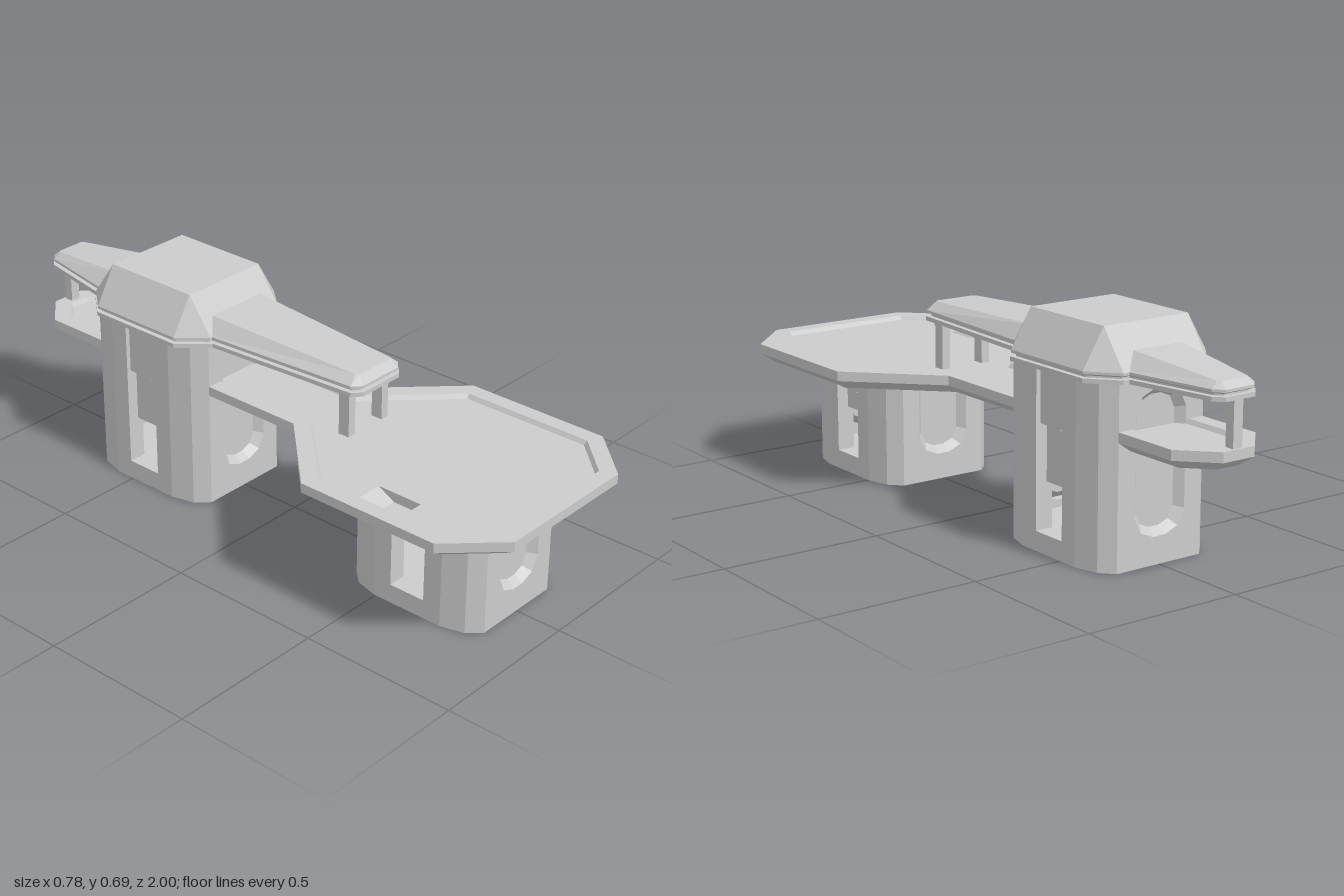
import * as THREE from 'three';

const material = new THREE.MeshStandardMaterial({ color: 0xcccccc, flatShading: true, side: THREE.DoubleSide });

function add(parent, name, geometry, x = 0, y = 0, z = 0) {
  const mesh = new THREE.Mesh(geometry, material);
  mesh.name = name;
  mesh.position.set(x, y, z);
  parent.add(mesh);
}
const box = (parent, name, w, h, d, x, y, z) => add(parent, name, new THREE.BoxGeometry(w, h, d), x, y, z);

// Right half of a symmetric plan, given as [x, z] from front to back, to a counter-clockwise loop
function plan(half) {
  const right = half.map(([x, z]) => new THREE.Vector2(x, -z));
  return [...right, ...right.map((p) => new THREE.Vector2(-p.x, p.y)).reverse()];
}

// Move every edge of a counter-clockwise loop inwards by d
function inset(loop, d) {
  const n = loop.length;
  return loop.map((p, i) => {
    const a = p.clone().sub(loop[(i + n - 1) % n]).normalize();
    const b = loop[(i + 1) % n].clone().sub(p).normalize();
    const na = new THREE.Vector2(-a.y, a.x), nb = new THREE.Vector2(-b.y, b.x);
    return p.clone().addScaledVector(na.clone().add(nb), d / (1 + na.dot(nb)));
  });
}

// Skin between loops of equal length; each level is [loop, height or height(x, z)]
function loft(levels, bottom = true, top = true) {
  const out = [];
  const rings = levels.map(([loop, h]) =>
    loop.map((p) => [p.x, p.y, typeof h === 'function' ? h(p.x, -p.y) : h]));
  const n = rings[0].length;
  for (let k = 0; k + 1 < rings.length; k++) {
    const A = rings[k], B = rings[k + 1];
    for (let i = 0; i < n; i++) {
      const j = (i + 1) % n;
      out.push(...A[i], ...A[j], ...B[j], ...A[i], ...B[j], ...B[i]);
    }
  }
  const cap = (index, flip) => THREE.ShapeUtils.triangulateShape(levels[index][0].slice(), []).forEach(([a, b, c]) => {
    for (const v of flip ? [a, c, b] : [a, b, c]) out.push(...rings[index][v]);
  });
  if (bottom) cap(0, true);
  if (top) cap(levels.length - 1, false);
  const g = new THREE.BufferGeometry();
  g.setAttribute('position', new THREE.Float32BufferAttribute(out, 3));
  g.computeVertexNormals();
  return g;
}
const upright = (g) => g.rotateX(-Math.PI / 2);

function extrude(points, depth, hole) {
  const shape = new THREE.Shape(points);
  if (hole) shape.holes.push(new THREE.Path(hole));
  return new THREE.ExtrudeGeometry(shape, { depth, bevelEnabled: false });
}

// Tall recess outline: faceted arch at the bottom, and at the top unless it is cut flat
function archLoop(w, low, high, flat) {
  const rise = w * 0.72;
  const right = [[w * 0.25, low], [w * 0.74, low + rise * 0.28], [w, low + rise]];
  if (flat) right.push([w, high]);
  else right.push([w, high - rise], [w * 0.74, high - rise * 0.28], [w * 0.25, high]);
  const loop = right.map(([x, y]) => new THREE.Vector2(x, y));
  return [...loop, ...loop.map((p) => new THREE.Vector2(-p.x, p.y)).reverse()];
}

function createTower(name, height, z, archTop, flat, lintelY) {
  const tower = new THREE.Group();
  tower.name = name;
  tower.position.z = z;
  const F = 0.235, S = 0.06, base = 0.06;
  const corner = [[0.15, F], [0.188, 0.195], [0.208, 0.12]];
  const footprint = plan([...corner, ...corner.map(([x, d]) => [x, -d]).reverse()]);

  // Thin hollow foot ring and raised floor
  add(tower, 'footRing', upright(extrude(footprint, base, inset(footprint, 0.02))));
  add(tower, 'floor', upright(extrude(inset(footprint, 0.015), 0.008)), 0, base - 0.008, 0);

  // Four bowed side walls leaving a slot on each side
  const wall = [...corner, [0.208, S], [0.15, S]];
  for (const sx of [-1, 1]) for (const sz of [-1, 1]) {
    const pts = wall.map(([x, d]) => new THREE.Vector2(sx * x, -sz * d));
    add(tower, 'sideWall', upright(extrude(pts, height - base)), 0, base, 0);
  }

  // Front and back walls with a bevelled arched recess
  const outer = archLoop(0.09, 0.083, archTop, flat);
  const inner = archLoop(0.068, 0.105, flat ? archTop : archTop - 0.022, flat);
  const face = [[-0.15, base], [0.15, base], [0.15, height], [-0.15, height]].map((p) => new THREE.Vector2(...p));
  for (const turn of [0, Math.PI]) {
    const side = new THREE.Group();
    side.name = turn ? 'backWall' : 'frontWall';
    side.rotation.y = turn;
    add(side, 'archedWall', extrude(face, 0.03, outer), 0, 0, F - 0.03);
    add(side, 'archRecess', loft([[outer, F], [inner, F - 0.025]], false, true));
    tower.add(side);
  }

  // Core filling the slots above the see-through openings, with lintels and lamps
  box(tower, 'core', 0.34, height - 0.2, 2 * S, 0, (height + 0.2) / 2, 0);
  for (const sx of [-1, 1]) {
    box(tower, 'slotLintel', 0.025, height - lintelY, 2 * S, sx * 0.181, (height + lintelY) / 2, 0);
    box(tower, 'slotLamp', 0.016, 0.006, 0.05, sx * 0.181, lintelY - 0.003, 0);
  }
  return tower;
}

// Eave band, recessed groove and a tapering roof above
function roof(outline, topLoop, topY) {
  const groove = inset(outline, 0.016), edge = inset(outline, 0.003);
  return upright(loft([[outline, 0.54], [outline, 0.553], [groove, 0.553], [groove, 0.558],
    [edge, 0.564], [edge, 0.572], [topLoop, topY]]));
}

export function createModel() {
  const model = new THREE.Group();
  model.name = 'platformBuilding';

  // Deck: bevelled underside, raised rim, sunken floor with a hatch opening
  const outline = plan([[0.24, 1], [0.39, 0.845], [0.39, 0.375], [0.15, 0.13], [0.15, -0.9], [0.055, -1]]);
  const floorLoop = inset(outline, 0.059);
  add(model, 'deckShell', upright(loft([[inset(outline, 0.042), 0.345], [outline, 0.375], [outline, 0.405],
    [inset(outline, 0.05), 0.405], [floorLoop, 0.392]], true, false)));
  const hatch = [[-0.329, 0.53], [-0.24, 0.53], [-0.24, 0.68], [-0.329, 0.68]].map(([x, z]) => new THREE.Vector2(x, -z));
  const floor = new THREE.Shape(floorLoop);
  floor.holes.push(new THREE.Path(hatch));
  add(model, 'deckFloor', upright(new THREE.ShapeGeometry(floor)), 0, 0.392, 0);

  // Hatch well and its ramp
  const well = hatch.slice().reverse();
  add(model, 'hatchWell', upright(loft([[well, 0.36], [well, 0.392]], false, false)));
  box(model, 'hatchFloor', 0.089, 0.004, 0.15, -0.2845, 0.36, 0.605);
  const wedge = [[0.53, 0.36], [0.59, 0.36], [0.53, 0.392]].map(([z, y]) => new THREE.Vector2(-z, y));
  add(model, 'hatchRamp', extrude(wedge, 0.089).rotateY(Math.PI / 2), -0.329, 0, 0);

  // Towers
  model.add(createTower('frontTower', 0.35, 0.615, 0.345, true, 0.27));
  model.add(createTower('rearTower', 0.545, -0.447, 0.51, false, 0.375));

  // Rear tower roof with triangular corner facets
  const eave = plan([[0.15, -0.2], [0.224, -0.285], [0.224, -0.613], [0.15, -0.7]]);
  const crown = plan([[0.15, -0.285], [0.15, -0.285], [0.15, -0.613], [0.15, -0.613]]);
  add(model, 'towerRoof', roof(eave, crown, 0.688));

  // Long front canopy and short rear canopy, both narrowing outwards
  add(model, 'frontCanopy', roof(
    plan([[0.08, 0.335], [0.108, 0.31], [0.148, -0.25]]),
    plan([[0.068, 0.31], [0.075, 0.3], [0.105, -0.25]]),
    (x, z) => 0.597 + (0.31 - z) * 0.04));
  add(model, 'rearCanopy', roof(
    plan([[0.142, -0.64], [0.078, -0.972], [0.052, -1]]),
    plan([[0.088, -0.64], [0.053, -0.965], [0.046, -0.975]]),
    (x, z) => 0.59 + (z + 0.975) * 0.1));

  // Canopy posts: a pair with capitals in front, a single one at the back
  for (const sx of [-1, 1]) {
    box(model, 'frontPost', 0.028, 0.155, 0.038, sx * 0.074, 0.4675, 0.27);
    box(model, 'frontCapital', 0.032, 0.017, 0.042, sx * 0.074, 0.533, 0.27);
  }
  box(model, 'rearPost', 0.032, 0.155, 0.03, 0, 0.4675, -0.978);

  // Flat lamps beneath the deck and canopies
  const lamp = new THREE.CylinderGeometry(0.022, 0.022, 0.006, 12);
  for (const [x, z] of [[-0.29, 0.8], [0.29, 0.8], [-0.29, 0.42], [0.29, 0.42], [0, 0.91], [0, -0.04], [0, -0.88]])
    add(model, 'deckLamp', lamp, x, 0.344, z);
  for (const z of [0.14, -0.04, -0.78, -0.9]) add(model, 'canopyLamp', lamp, 0, 0.539, z);

  return model;
}
